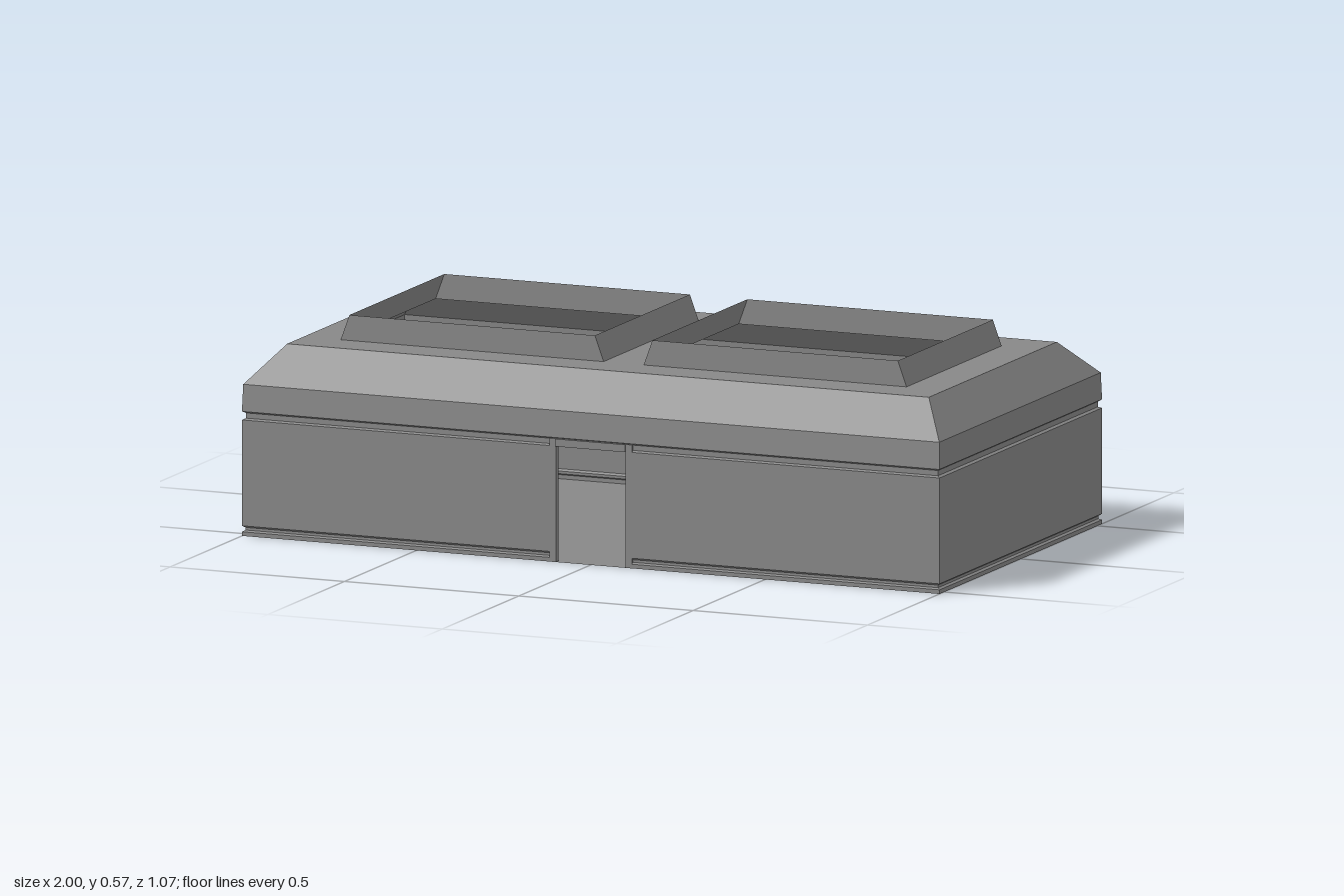
import * as THREE from 'three';

const material = new THREE.MeshStandardMaterial({ color: 0x888888, flatShading: true, side: THREE.DoubleSide });
const HX = 1, HZ = 0.53, DOOR = 0.1, DOOR_TOP = 0.31, ROOF_Y = 0.5;

function addMesh(parent, name, geometry) {
  const mesh = new THREE.Mesh(geometry, material);
  mesh.name = name;
  parent.add(mesh);
  return mesh;
}

// Skin between successive rings of [x, y, z] points, listed bottom to top, anticlockwise from above
function loft(rings, closed) {
  const pos = [];
  for (let r = 0; r < rings.length - 1; r++) {
    const a = rings[r], b = rings[r + 1], n = a.length;
    for (let i = 0; i < (closed ? n : n - 1); i++) {
      const j = (i + 1) % n;
      pos.push(...a[i], ...a[j], ...b[j], ...a[i], ...b[j], ...b[i]);
    }
  }
  const geometry = new THREE.BufferGeometry();
  geometry.setAttribute('position', new THREE.Float32BufferAttribute(pos, 3));
  geometry.computeVertexNormals();
  return geometry;
}

// Rectangle with half sizes hx, hz around x = cx
const rectRing = (cx, hx, hz, y) =>
  [[cx - hx, y, hz], [cx + hx, y, hz], [cx + hx, y, -hz], [cx - hx, y, -hz]];

export function createModel() {
  const group = new THREE.Group();
  group.name = 'building';

  // Floor
  const floor = addMesh(group, 'floor', new THREE.PlaneGeometry(2 * HX, 2 * HZ));
  floor.rotation.x = -Math.PI / 2;

  // Two C-shaped wall halves with a bevelled plinth groove, leaving a doorway front and back
  const wallProfile = [
    [0, 0], [0, 0.011], [0.007, 0.015], [0.007, 0.022], [0, 0.027],
    [0, DOOR_TOP], [0.008, DOOR_TOP + 0.004],
  ];
  const leftWall = wallProfile.map(([inset, y]) => {
    const x = HX - inset, z = HZ - inset;
    return [[DOOR, y, z], [x, y, z], [x, y, -z], [DOOR, y, -z]];
  });
  const rightWall = leftWall.map(ring => ring.map(([x, y, z]) => [-x, y, z]).reverse());
  addMesh(group, 'leftSideWall', loft(leftWall, false));
  addMesh(group, 'rightSideWall', loft(rightWall, false));

  // Recessed band, cornice and hipped roof slope
  const roofProfile = [
    [0.992, 0.522, DOOR_TOP], [0.992, 0.522, 0.328], [1, 0.531, 0.333],
    [0.998, 0.527, 0.405], [0.92, 0.418, ROOF_Y],
  ];
  addMesh(group, 'corniceAndRoofSlope', loft(roofProfile.map(([x, z, y]) => rectRing(0, x, z, y)), true));

  // Flat roof with two openings, each ringed by a curb leaning in at its left and right
  const roof = new THREE.Shape([[-0.92, -0.418], [0.92, -0.418], [0.92, 0.418], [-0.92, 0.418]]
    .map(p => new THREE.Vector2(...p)));
  const curbHalf = 0.377, curbZ = 0.31;
  for (const [name, cx] of [['rightSkylightCurb', -0.437], ['leftSkylightCurb', 0.432]]) {
    const base = rectRing(cx, curbHalf, curbZ, ROOF_Y);
    roof.holes.push(new THREE.Path(base.map(([x, , z]) => new THREE.Vector2(x, z))));
    addMesh(group, name, loft([base, rectRing(cx, curbHalf - 0.025, curbZ, 0.568)], true));
  }
  const flatRoof = addMesh(group, 'flatRoof', new THREE.ShapeGeometry(roof));
  flatRoof.rotation.x = -Math.PI / 2;
  flatRoof.position.y = ROOF_Y;

  // Door frames, front and back, with the header standing slightly proud
  for (const side of [1, -1]) {
    const frame = new THREE.Group();
    frame.name = side > 0 ? 'frontDoorFrame' : 'backDoorFrame';
    for (const x of [-1, 1]) {
      const jamb = addMesh(frame, 'doorJamb', new THREE.BoxGeometry(0.018, 0.33, 0.018));
      jamb.position.set(x * (DOOR + 0.009), 0.165, -0.002);
    }
    const header = addMesh(frame, 'doorHeader', new THREE.BoxGeometry(2 * DOOR, 0.02, 0.022));
    header.position.y = DOOR_TOP + 0.01;
    frame.position.z = side * 0.524;
    frame.rotation.y = side > 0 ? 0 : Math.PI;
    group.add(frame);
  }
  return group;
}
